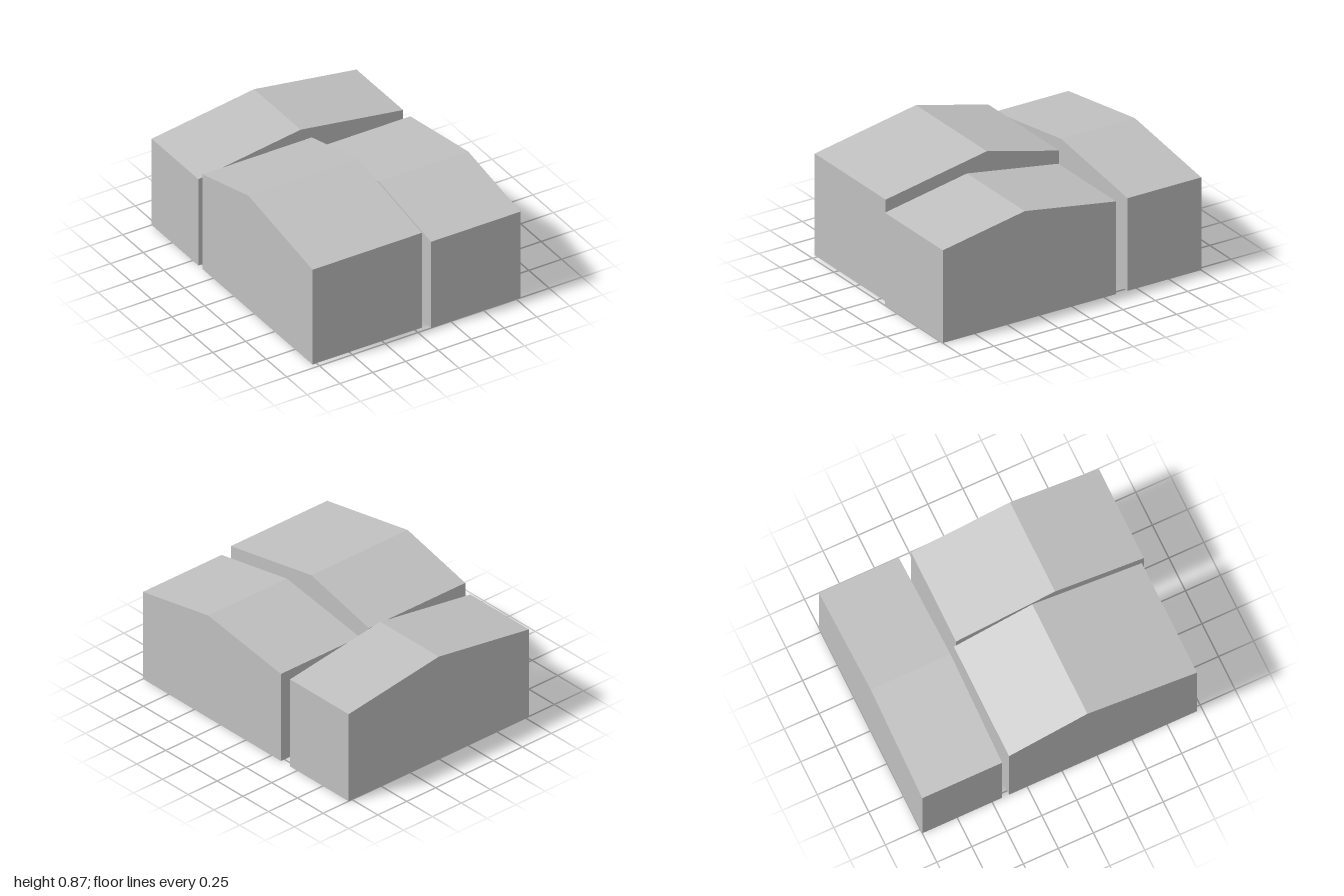
import * as THREE from 'three';

const wallGrey = new THREE.MeshStandardMaterial({ color: 0xc0c0c0, side: THREE.DoubleSide });
wallGrey.name = 'plain grey';

// Gabled shell without a floor: profile from a to b with its ridge at r, extruded by depth
function gabledShell(a, b, r, eave, peak, depth) {
  const shape = new THREE.Shape([[a, 0], [b, 0], [b, eave], [r, peak], [a, eave]]
    .map(([u, y]) => new THREE.Vector2(u, y)));
  const solid = new THREE.ExtrudeGeometry(shape, { depth, bevelEnabled: false });
  // Leave out the ground faces
  const p = solid.attributes.position;
  const kept = [];
  for (let i = 0; i < p.count; i += 3) {
    if (Math.max(p.getY(i), p.getY(i + 1), p.getY(i + 2)) < 1e-6) continue;
    for (let j = i; j < i + 3; j++) kept.push(p.getX(j), p.getY(j), p.getZ(j));
  }
  const shell = new THREE.BufferGeometry();
  shell.setAttribute('position', new THREE.Float32BufferAttribute(kept, 3));
  shell.computeVertexNormals();
  return shell;
}

export function createModel() {
  const group = new THREE.Group();
  group.name = 'buildingCluster';
  const add = (name, geometry) => {
    const mesh = new THREE.Mesh(geometry, wallGrey);
    mesh.name = name;
    group.add(mesh);
  };

  // Rear block, ridge running front to back
  add('rearBuilding', gabledShell(-0.78, 0.78, 0, 0.663, 0.778, 0.57).translate(0, 0, -1));

  // Two front blocks, ridges running side to side
  const sideways = (x0, x1, ...profile) =>
    gabledShell(...profile, x1 - x0).rotateY(-Math.PI / 2).translate(x1, 0, 0);
  add('tallFrontBuilding', sideways(-0.78, 0.053, -0.38, 0.963, 0.18, 0.728, 0.87));
  add('lowFrontBuilding', sideways(0.1, 0.78, -0.342, 1, 0.365, 0.663, 0.778));

  return group;
}
